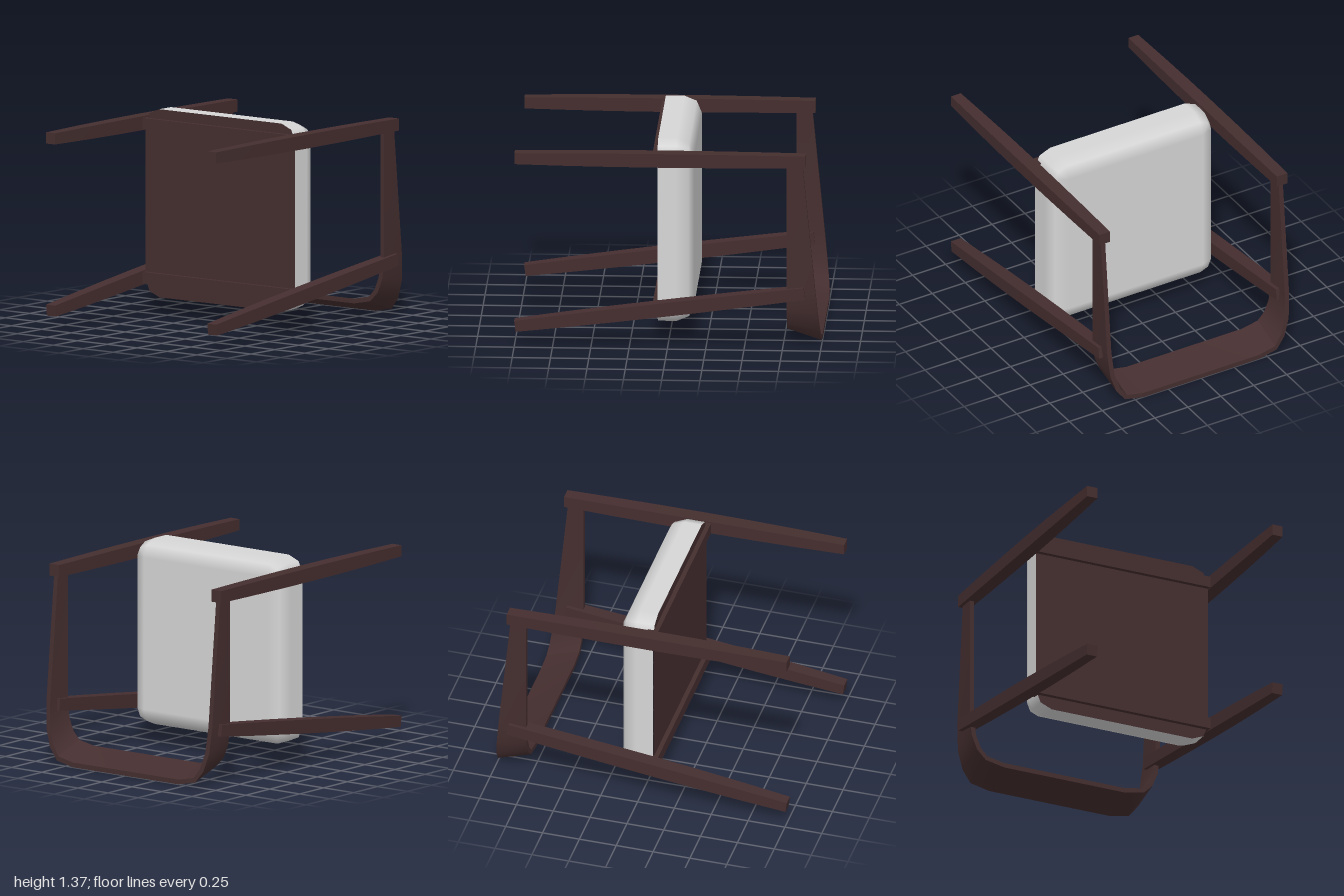
import * as THREE from 'three';
import { toCreasedNormals } from 'three/addons/utils/BufferGeometryUtils.js';

// Skin a list of equal-sized closed rings of [x, y, z]
function loft(rings) {
  const n = rings[0].length, index = [];
  for (let i = 0; i < rings.length - 1; i++) {
    for (let j = 0; j < n; j++) {
      const a = i * n + j, b = i * n + (j + 1) % n;
      index.push(a, b, b + n, a, b + n, a + n);
    }
  }
  const geo = new THREE.BufferGeometry();
  geo.setAttribute('position', new THREE.Float32BufferAttribute(rings.flat(2), 3));
  geo.setIndex(index);
  return geo;
}

// Square leg that swells slightly in the middle
function legGeometry(length) {
  const geo = new THREE.BoxGeometry(2, 2, length, 1, 1, 6);
  const p = geo.attributes.position;
  for (let i = 0; i < p.count; i++) {
    const t = p.getZ(i) / (length / 2);
    const half = 0.046 - (t > 0 ? 0.009 : 0.006) * t * t;
    p.setXY(i, p.getX(i) * half, p.getY(i) * half);
  }
  return toCreasedNormals(geo, 0.5);
}

// Bent backrest band: the outer path is mirrored, the rear edge slopes outward
function backrestGeometry() {
  const half = [[0.69, 1.25], [0.69, 0.4], [0.676, 0.26], [0.637, 0.165], [0.575, 0.102], [0.44, 0.075]];
  const path = [...half, ...half.map(([x, y]) => [-x, y]).reverse()];
  const thick = 0.032;
  const rings = path.map(([x, y], i) => {
    const p = path[Math.max(i - 1, 0)], q = path[Math.min(i + 1, path.length - 1)];
    const dx = q[0] - p[0], dy = q[1] - p[1], len = Math.hypot(dx, dy);
    const ix = x + dy / len * thick, iy = y - dx / len * thick;
    const drop = 0.075 * THREE.MathUtils.clamp((0.4 - y) / 0.3, 0, 1);
    const rear = -0.88 - 0.12 * (1.23 - y + drop) / 1.23;
    return [[x, y, -0.775], [ix, iy, -0.775], [ix, iy - drop, rear], [x, y - drop, rear]];
  });
  return toCreasedNormals(loft(rings), 0.6);
}

// Seat outline: rounded rectangle with two-step corners of radius r
const SEAT_Y = 0.745, CORE_X = 0.51, CORE_Y = 0.505, RADIUS = 0.115;
function seatOutline(r) {
  const pts = [];
  for (let c = 0; c < 4; c++) {
    const sx = c === 0 || c === 3 ? 1 : -1, sy = c < 2 ? 1 : -1;
    for (let k = 0; k < 3; k++) {
      const a = (c + k / 2) * Math.PI / 2;
      pts.push({ a, x: sx * CORE_X + r * Math.cos(a), y: SEAT_Y + sy * CORE_Y + r * Math.sin(a) });
    }
  }
  return pts;
}

// Cushion: rounded over on the side facing -z, with smooth normals
function cushionGeometry() {
  const rings = [], normals = [];
  const layers = [Math.PI / 2, Math.PI / 4, 0, 0];
  layers.forEach((t, i) => {
    const z = i === 3 ? 0.07 : -0.05 - RADIUS * Math.sin(t);
    const pts = seatOutline(RADIUS * Math.cos(t));
    rings.push(pts.map(p => [p.x, p.y, z]));
    pts.forEach(p => normals.push(Math.cos(t) * Math.cos(p.a), Math.cos(t) * Math.sin(p.a), -Math.sin(t)));
  });
  const geo = loft(rings);
  const index = Array.from(geo.index.array);
  index.push(0, 6, 3, 0, 9, 6);
  geo.setIndex(index);
  geo.setAttribute('normal', new THREE.Float32BufferAttribute(normals, 3));
  return geo;
}

export function createModel() {
  const model = new THREE.Group();
  model.name = 'chair';
  const wood = new THREE.MeshStandardMaterial({ color: 0x452e2f });
  wood.name = 'dark wood';
  const fabric = new THREE.MeshStandardMaterial({ color: 0xd6d6d6 });
  fabric.name = 'light fabric';

  function add(name, geo, mat, x = 0, y = 0, z = 0) {
    const mesh = new THREE.Mesh(geo, mat);
    mesh.name = name;
    mesh.position.set(x, y, z);
    model.add(mesh);
    return mesh;
  }

  // Legs
  const frontLeg = legGeometry(1.9), rearLeg = legGeometry(1.905);
  for (const [side, s] of [['left', 1], ['right', -1]]) {
    add(side + 'FrontLeg', frontLeg, wood, s * 0.673, 1.265, 0.05);
    add(side + 'RearLeg', rearLeg, wood, s * 0.673, 0.252, 0.052).rotation.x = 0.129;
  }

  // Backrest
  add('backrest', backrestGeometry(), wood);

  // Seat cushion and its wooden base
  add('cushion', cushionGeometry(), fabric);
  const outline = new THREE.Shape(seatOutline(RADIUS).map(p => new THREE.Vector2(p.x, p.y)));
  add('seatBase', new THREE.ShapeGeometry(outline), wood, 0, 0, 0.0705);

  // Cross rails with end blocks
  for (const [name, y] of [['frontRail', 1.2625], ['rearRail', 0.2475]]) {
    add(name, new THREE.BoxGeometry(1.27, 0.075, 0.035), wood, 0, y, 0.0825);
    for (const s of [1, -1]) {
      add(name + 'Block', new THREE.BoxGeometry(0.035, 0.075, 0.045), wood, s * 0.6175, y, 0.05);
    }
  }
  return model;
}
